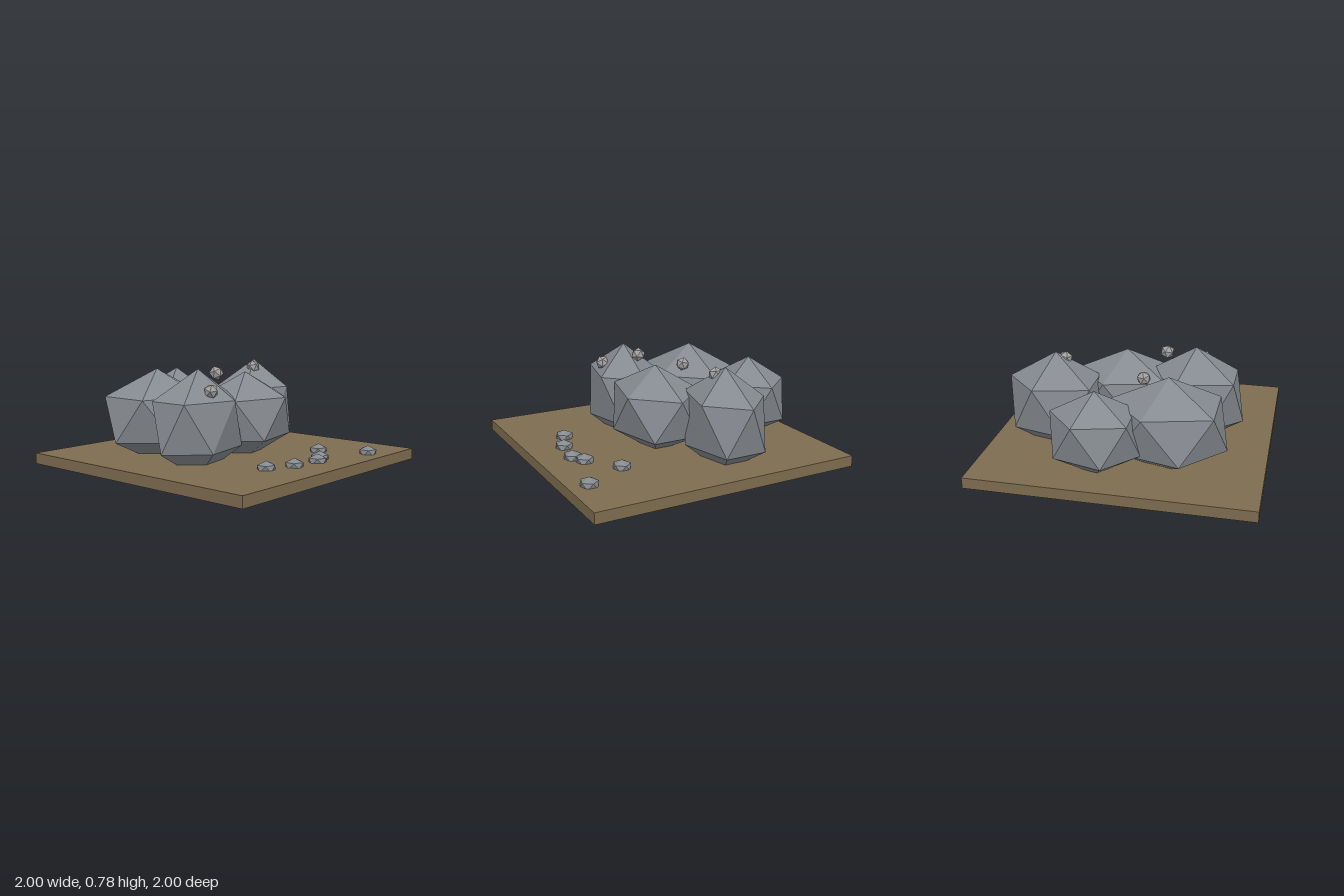
import * as THREE from 'three';
import { ConvexGeometry } from 'three/addons/geometries/ConvexGeometry.js';

// Icosahedron standing on a point: two poles and two offset rings of five
function rockGeometry() {
  const points = [new THREE.Vector3(0, 1, 0), new THREE.Vector3(0, -1, 0)];
  const ringY = 1 / Math.sqrt(5), ringR = 2 / Math.sqrt(5);
  for (let i = 0; i < 5; i++) {
    const a = (i * Math.PI * 2) / 5;
    points.push(new THREE.Vector3(ringR * Math.cos(a), ringY, ringR * Math.sin(a)));
    points.push(new THREE.Vector3(-ringR * Math.cos(a), -ringY, ringR * Math.sin(a)));
  }
  return new ConvexGeometry(points);
}

export function createModel() {
  const group = new THREE.Group();
  const earth = new THREE.MeshStandardMaterial({ color: 0x7d6c4f, flatShading: true });
  earth.name = 'earth';
  const stone = new THREE.MeshStandardMaterial({ color: 0x868b91, flatShading: true });
  stone.name = 'stone';
  const paleStone = new THREE.MeshStandardMaterial({ color: 0xa3a0a0, flatShading: true });
  paleStone.name = 'paleStone';

  const add = (name, geometry, material, position, scale = [1, 1, 1]) => {
    const mesh = new THREE.Mesh(geometry, material);
    mesh.name = name;
    mesh.position.set(...position);
    mesh.scale.set(...scale);
    group.add(mesh);
    return mesh;
  };

  // Ground slab
  add('ground', new THREE.BoxGeometry(2, 0.08, 2), earth, [0, 0.09, 0]);

  // Boulders: centre, then radii
  const rock = rockGeometry();
  const boulders = [
    [[-0.31, 0.39, -0.42], [0.467, 0.355, 0.38]],
    [[0.15, 0.395, -0.67], [0.352, 0.313, 0.294]],
    [[0.557, 0.392, -0.2], [0.395, 0.385, 0.297]],
    [[-0.418, 0.392, 0.1], [0.408, 0.387, 0.288]],
    [[0.095, 0.395, 0.097], [0.442, 0.33, 0.335]],
  ];
  boulders.forEach(([p, s], i) => add(`boulder${i + 1}`, rock, stone, p, s));

  // Flat pebbles in front, half sunk into the ground
  const pebbles = [[-0.335, 0.645], [-0.135, 0.73], [0.095, 0.76], [0.195, 0.71], [0.425, 0.535], [0.6, 0.855]];
  pebbles.forEach(([x, z], i) => add(`pebble${i + 1}`, rock, stone, [x, 0.14, z], [0.075, 0.05, 0.07]));

  // Small pale stones resting on the boulders
  const perched = [[-0.46, 0.637, 0.262], [-0.207, 0.733, 0.082], [-0.097, 0.645, -0.24], [0.498, 0.718, -0.16]];
  perched.forEach((p, i) => {
    const mesh = add(`perchedStone${i + 1}`, rock, paleStone, p, [0.053, 0.053, 0.053]);
    mesh.rotation.set(0.4 + i * 0.7, i * 1.3, 0.3 + i * 0.5);
  });

  return group;
}
